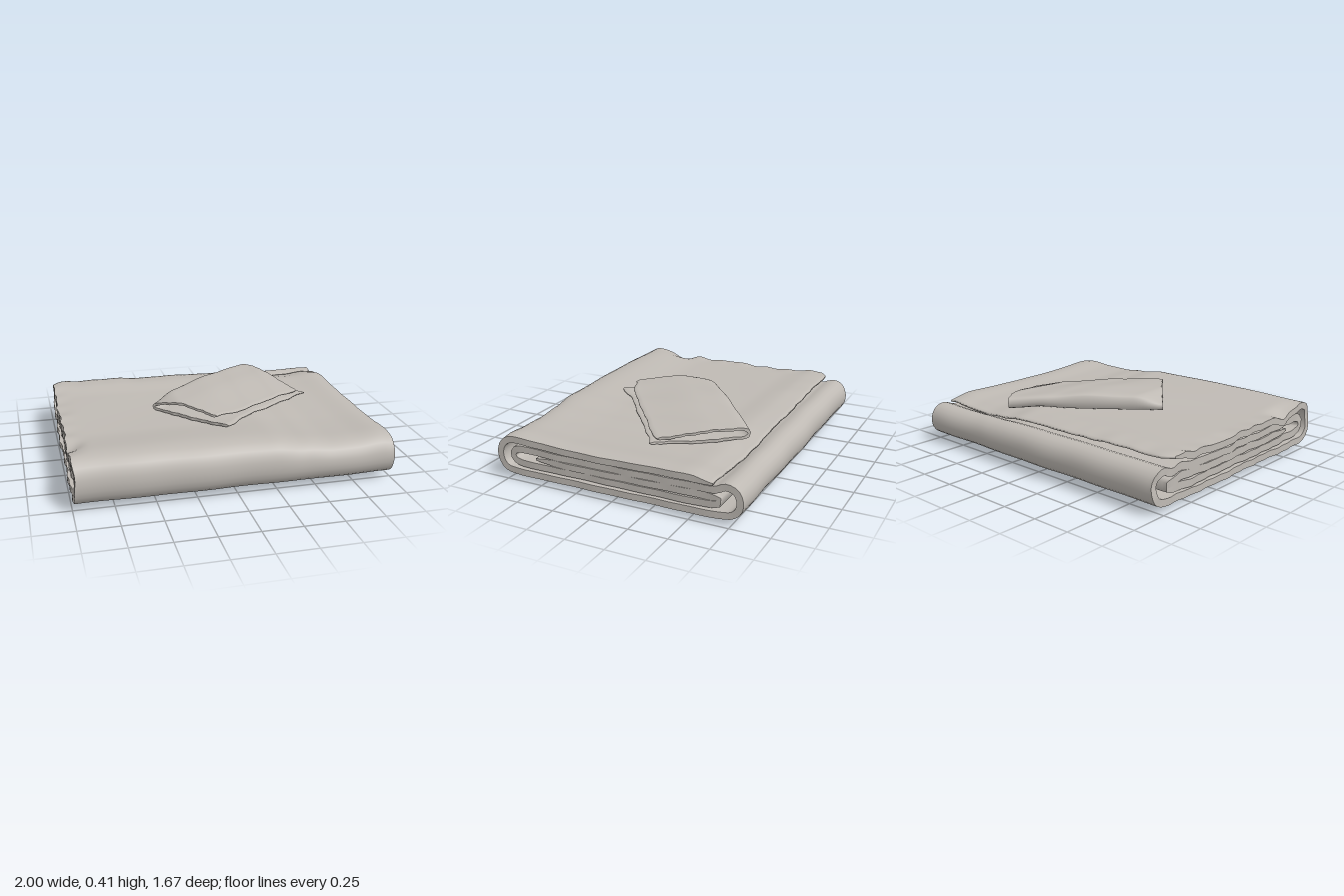
import * as THREE from 'three';

const { lerp, smoothstep: smooth } = THREE.MathUtils;

// soft irregular wave, roughly -1..1
const wave = (a, b = 0) =>
  (Math.sin(a * 3.1 + b * 1.7) + Math.sin(a * 7.3 - b * 4.1 + 1) + Math.sin(a * 15.7 + b * 2.9 + 2)) / 3;

// eased height through a short table of [x, y] points
function profile(table, x) {
  let i = 0;
  while (i < table.length - 2 && x > table[i + 1][0]) i++;
  const [x0, y0] = table[i], [x1, y1] = table[i + 1];
  return lerp(y0, y1, smooth(x, x0, x1));
}

// upper surface of the big folded sheet: raised rims at front and back, hollow between
const rimHeights = [[-1, 0.328], [0, 0.33], [0.22, 0.327], [0.42, 0.3],
  [0.6, 0.282], [0.75, 0.282], [0.92, 0.294], [1, 0.285]];
function topHeight(x, z) {
  const hollow = lerp(0.03, 0.008, smooth(x, -0.1, 0.6));
  const mid = smooth(z, -0.66, -0.35) * (1 - smooth(z, 0.3, 0.66));
  return profile(rimHeights, x) - hollow * mid + 0.003 * Math.sin(x * 4 + z * 5);
}

// upper surface of the small cloth
const smallHeights = [[-0.38, 0.36], [-0.22, 0.4], [0, 0.407], [0.2, 0.395], [0.45, 0.372], [0.68, 0.335], [0.8, 0.31]];

// Sweeps a thick cloth strip whose folded centre line lies in the (z, y) plane.
// warp(k, s, z, y) places a point: k runs 0..1 along the width, s 0..1 along the cloth.
function foldedCloth(points, thickness, n, m, warp, material) {
  const curve = new THREE.SplineCurve(points.map(p => new THREE.Vector2(...p)));
  curve.arcLengthDivisions = 1000;
  const upper = [], lower = [];
  for (let i = 0; i <= n; i++) {
    const s = i / n, p = curve.getPointAt(s), t = curve.getTangentAt(s);
    // thinner at both hems
    const h = thickness / 2 * Math.min(1, 0.3 + Math.min(s, 1 - s) * 40);
    upper.push([p.x - t.y * h, p.y + t.x * h, s]);
    lower.push([p.x + t.y * h, p.y - t.x * h, s]);
  }
  const ring = [...upper, ...lower.slice().reverse()];
  const pos = [], index = [];
  const add = (k, [z, y, s]) => pos.push(...warp(k, s, z, y));
  const count = ring.length;
  for (let j = 0; j <= m; j++) ring.forEach(p => add(j / m, p));
  for (let j = 0; j < m; j++) {
    for (let i = 0; i < count; i++) {
      const a = j * count + i, b = j * count + (i + 1) % count;
      index.push(a, a + count, b, b, a + count, b + count);
    }
  }
  // cut edges at the two ends
  for (const k of [0, 1]) {
    const base = pos.length / 3;
    for (let i = 0; i <= n; i++) { add(k, upper[i]); add(k, lower[i]); }
    for (let i = 0; i < n; i++) {
      const a = base + i * 2;
      if (k) index.push(a, a + 1, a + 2, a + 2, a + 1, a + 3);
      else index.push(a, a + 2, a + 1, a + 2, a + 3, a + 1);
    }
  }
  const geo = new THREE.BufferGeometry();
  geo.setAttribute('position', new THREE.Float32BufferAttribute(pos, 3));
  geo.setIndex(index);
  geo.computeVertexNormals();
  return new THREE.Mesh(geo, material);
}

export function createModel() {
  const group = new THREE.Group();
  const cloth = new THREE.MeshStandardMaterial({ color: 0xbfbab4, side: THREE.DoubleSide });
  cloth.name = 'warm grey cloth';

  // large sheet, rolled inward: top layer, front fold, underside, back roll, inner layers
  const sheetPath = [
    [-0.67, 0.258], [-0.4, 0.257], [0, 0.255], [0.5, 0.257], [0.71, 0.258], [0.785, 0.225],
    [0.808, 0.15], [0.775, 0.08], [0.68, 0.061], [0.3, 0.06], [-0.3, 0.06], [-0.68, 0.061],
    [-0.78, 0.085], [-0.81, 0.15], [-0.785, 0.215], [-0.72, 0.235], [-0.65, 0.206], [-0.5, 0.2],
    [0, 0.2], [0.55, 0.2], [0.69, 0.193], [0.725, 0.155], [0.69, 0.118], [0.55, 0.11],
    [0, 0.11], [-0.55, 0.11], [-0.68, 0.13], [-0.6, 0.155], [0, 0.155], [0.55, 0.155]];
  const sheet = foldedCloth(sheetPath, 0.042, 300, 64, (k, s, z, y) => {
    const inner = smooth(s, 0.36, 0.46);
    const left = -0.99 + 0.01 * wave(s * 22) + 0.015 * inner;
    const right = 0.993 + 0.005 * wave(s * 12, 2) - 0.018 * inner;
    const x = lerp(left, right, k);
    const leftEnd = 1 - smooth(x, -1, -0.87);
    // raise the layers toward the uneven top, leave the back roll low, sag the underside
    const roll = inner * (1 - smooth(z, -0.72, -0.55));
    const lift = smooth(y, 0.04, 0.28) * (1 - 0.75 * roll);
    const sag = smooth(x, -1, -0.45) * (1 - smooth(x, -0.05, 0.45)) * (1 - smooth(Math.abs(z), 0.05, 0.72));
    let py = y + (topHeight(x, z) - 0.28) * lift - 0.037 * sag * (1 - smooth(y, 0.04, 0.2));
    // crumpled left edge with one deep notch behind the front fold
    const notch = Math.exp(-(((z - 0.5) / 0.08) ** 2)) * (1 - inner) * smooth(y, 0.15, 0.24);
    py += leftEnd * (lift * 0.012 * wave(z * 2.2) - 0.05 * notch);
    // uneven hem of the top layer and gentle wander of the folds
    const hem = 1 - smooth(s, 0, 0.03);
    let pz = z + 0.008 * wave(x * 0.9, z) * smooth(Math.abs(z), 0.5, 0.8);
    pz += hem * (0.006 * wave(x * 2.5) - 0.012 + 0.03 * smooth(x, 0.2, 0.8)
      + 0.05 * (1 - smooth(x, -1, -0.92)));
    py += hem * (0.006 * wave(x * 2, 1) * (1 - smooth(x, -0.4, 0)) - 0.018 * smooth(x, -0.7, -0.2));
    return [x, py, pz];
  }, cloth);
  sheet.name = 'foldedSheet';
  group.add(sheet);

  // small cloth folded once, lying at an angle on the sheet
  const angle = 0.68, cx = 0.207, cz = -0.08;
  const c = Math.cos(angle), sn = Math.sin(angle);
  const smallPath = [
    [0.29, 0.014], [0.15, 0.012], [-0.15, 0.012], [-0.26, 0.012], [-0.298, 0.026],
    [-0.26, 0.044], [-0.15, 0.047], [0.05, 0.048], [0.17, 0.048], [0.27, 0.046]];
  const small = foldedCloth(smallPath, 0.016, 120, 48, (k, s, w, y) => {
    const ragged = 0.008 * wave(s * 6, k * 2);
    const upperLayer = smooth(y, 0.015, 0.04);
    // the right end is cut slightly askew
    const rightEnd = 0.5 - 0.08 * smooth(w, -0.3, 0.3) - 0.025 * upperLayer * smooth(w, -0.1, 0.3);
    const u = lerp(-0.505, rightEnd, k) + ragged;
    const ends = smooth(Math.abs(u), 0.33, 0.48);
    const open = smooth(w, 0.1, 0.29);
    const pw = w + open * (0.006 * wave(u * 2.5, 1) + ends * lerp(0.03, -0.045, upperLayer));
    const x = cx + u * c + pw * sn, z = cz - u * sn + pw * c;
    // lower layer rests on the sheet, upper layer arches over it and droops at its open side
    const resting = topHeight(x, z) + y;
    const arched = profile(smallHeights, x) + y - 0.054 - 0.025 * smooth(w, -0.1, 0.27)
      + 0.004 * wave(u, w);
    return [x, lerp(resting, arched, upperLayer), z];
  }, cloth);
  small.name = 'smallFoldedCloth';
  group.add(small);

  return group;
}
